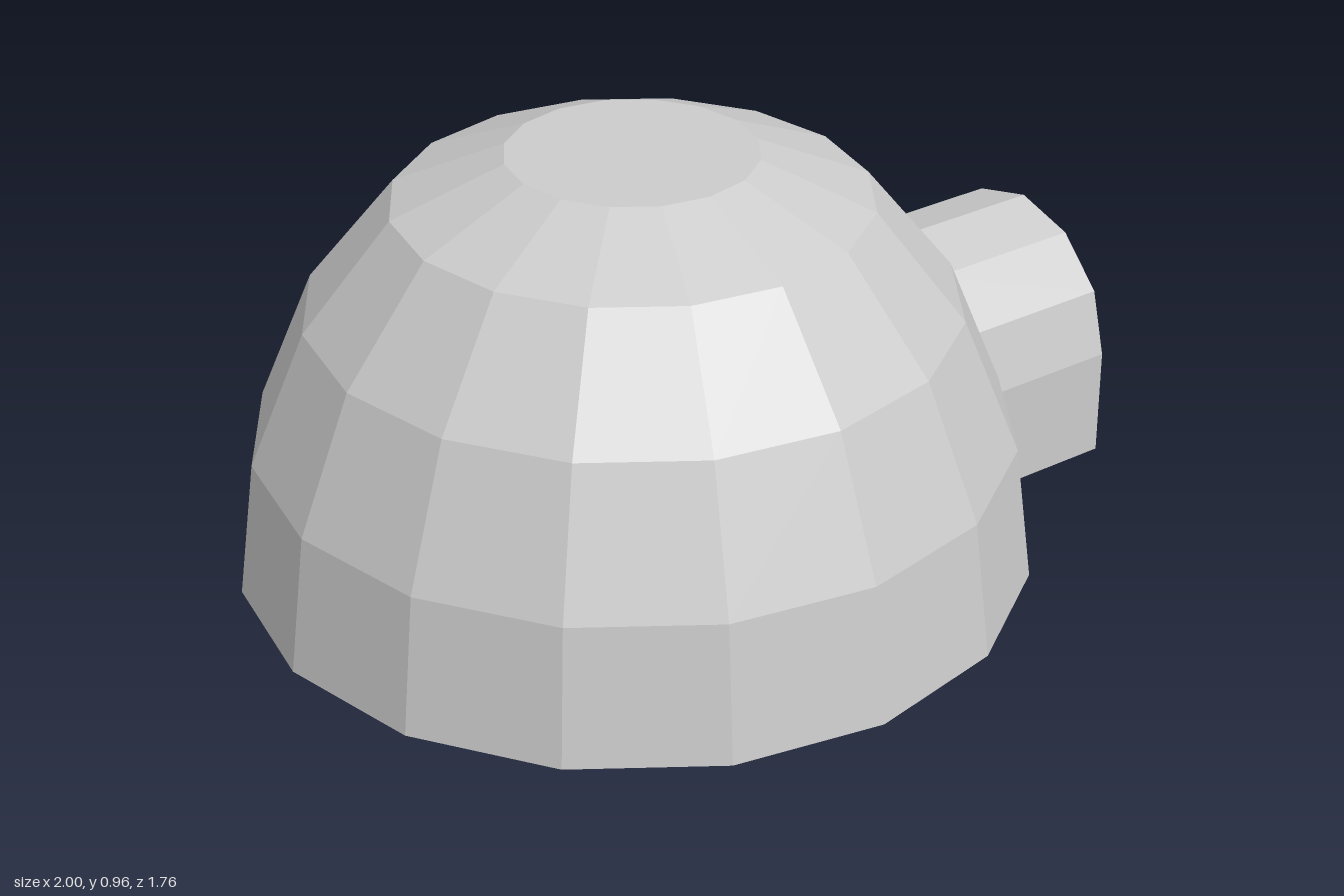
import * as THREE from 'three';

const CX = -0.12;                                  // dome axis
const SIDES = 16, STEP = (Math.PI * 2) / SIDES;
const RINGS = [[0.88, 0], [0.84, 0.311], [0.715, 0.614], [0.52, 0.857], [0.274, 0.961]]; // radius, height
const OUTER = 0.295, INNER = 0.178, SPRING = 0.252; // arch radii and spring height
const MOUTH = 1, END = -0.14;                      // bore runs from the mouth to its end wall
const V = (x, y, z) => new THREE.Vector3(x, y, z);

// Collects flat polygons, each turned to face along "out"
class Surface {
  constructor() { this.data = []; }

  face(points, out) {
    const a = out.toArray().map(Math.abs);
    const drop = a.indexOf(Math.max(...a));
    const flat = points.map(p => {
      const c = p.toArray();
      c.splice(drop, 1);
      return new THREE.Vector2(c[0], c[1]);
    });
    for (const [i, j, k] of THREE.ShapeUtils.triangulateShape(flat, [])) {
      const t = [points[i], points[j], points[k]];
      const n = t[1].clone().sub(t[0]).cross(t[2].clone().sub(t[0]));
      if (n.dot(out) < 0) t.reverse();
      t.forEach(p => this.data.push(p.x, p.y, p.z));
    }
  }

  mesh(name) {
    const g = new THREE.BufferGeometry();
    g.setAttribute('position', new THREE.Float32BufferAttribute(this.data, 3));
    g.computeVertexNormals();
    const m = new THREE.Mesh(g, new THREE.MeshStandardMaterial({ color: 0xcccccc, flatShading: true }));
    m.name = name;
    return m;
  }
}

const ringPoint = (row, k) => {
  const [r, y] = RINGS[row];
  return V(CX + r * Math.cos(k * STEP), y, r * Math.sin(k * STEP));
};

// Point on the two dome facets either side of +x
function onDome(z, y) {
  const i = y <= RINGS[1][1] ? 0 : 1;
  const [r0, y0] = RINGS[i], [r1, y1] = RINGS[i + 1];
  const r = r0 + ((r1 - r0) * (y - y0)) / (y1 - y0);
  return V(CX + r - Math.abs(z) * Math.tan(STEP / 2), y, z);
}

// Half arch [z, y] from the ground to the crown
function halfArch(r) {
  const pts = [[r, 0]];
  for (let i = 0; i <= 3; i++) {
    const a = (i * Math.PI) / 6;
    pts.push([i === 3 ? 0 : r * Math.cos(a), SPRING + r * Math.sin(a)]);
  }
  return pts;
}

// Outer half arch with an extra point where it crosses the first dome ring
function outerHalf() {
  const pts = halfArch(OUTER), h = RINGS[1][1];
  const i = pts.findIndex(p => p[1] > h);
  const [a, b] = [pts[i - 1], pts[i]];
  const t = (h - a[1]) / (b[1] - a[1]);
  pts.splice(i, 0, [a[0] + (b[0] - a[0]) * t, h]);
  return pts;
}

const fullArch = half => [...half, ...half.slice(0, -1).reverse().map(([z, y]) => [-z, y])];

function buildDome(half) {
  const s = new Surface();
  for (let row = 0; row < 4; row++) {
    for (let k = 0; k < SIDES; k++) {
      if (row < 2 && (k === 0 || k === SIDES - 1)) continue; // tunnel joins here
      const a = (k + 0.5) * STEP;
      s.face([ringPoint(row, k), ringPoint(row, k + 1), ringPoint(row + 1, k + 1), ringPoint(row + 1, k)],
        V(Math.cos(a), 0.3, Math.sin(a)));
    }
  }
  // Facets cut round the tunnel
  const h = RINGS[1][1];
  for (const side of [1, -1]) {
    const cut = half.map(([z, y]) => onDome(z * side, y));
    const low = cut.filter(p => p.y <= h), high = cut.filter(p => p.y >= h);
    s.face([...low, ringPoint(1, side), ringPoint(0, side)], V(1, 0.2, 0));
    s.face([...high, ringPoint(2, 0), ringPoint(2, side), ringPoint(1, side)], V(1, 0.2, 0));
  }
  // Flat cap
  s.face(Array.from({ length: SIDES }, (_, k) => ringPoint(4, k)), V(0, 1, 0));
  return s.mesh('dome');
}

// Sweeps an arch along x; sign 1 faces outwards, -1 inwards
function archWalls(arch, start, sign, name) {
  const s = new Surface();
  for (let i = 0; i < arch.length - 1; i++) {
    const [z0, y0] = arch[i], [z1, y1] = arch[i + 1];
    s.face([start(z0, y0), V(MOUTH, y0, z0), V(MOUTH, y1, z1), start(z1, y1)],
      V(0, (z0 - z1) * sign, (y1 - y0) * sign));
  }
  return s.mesh(name);
}

export function createModel() {
  const group = new THREE.Group();
  group.name = 'domedShelter';
  const half = outerHalf();
  const outer = fullArch(half), inner = fullArch(halfArch(INNER));

  group.add(buildDome(half));
  group.add(archWalls(outer, onDome, 1, 'tunnelOutside'));
  group.add(archWalls(inner, (z, y) => V(END, y, z), -1, 'tunnelInside'));

  // Arched rim at the mouth
  const rim = new Surface();
  rim.face([...outer, ...inner.slice().reverse()].map(([z, y]) => V(MOUTH, y, z)), V(1, 0, 0));
  group.add(rim.mesh('entranceRim'));

  // Wall closing the inner end of the tunnel
  const wall = new Surface();
  wall.face(inner.map(([z, y]) => V(END, y, z)), V(1, 0, 0));
  group.add(wall.mesh('tunnelEndWall'));

  // Underside with the tunnel slot left open
  const base = new Surface();
  const ring = Array.from({ length: SIDES - 1 }, (_, k) => ringPoint(0, k + 1));
  base.face([
    ...ring, onDome(-OUTER, 0), V(MOUTH, 0, -OUTER), V(MOUTH, 0, -INNER), V(END, 0, -INNER),
    V(END, 0, INNER), V(MOUTH, 0, INNER), V(MOUTH, 0, OUTER), onDome(OUTER, 0),
  ], V(0, -1, 0));
  group.add(base.mesh('underside'));

  return group;
}
